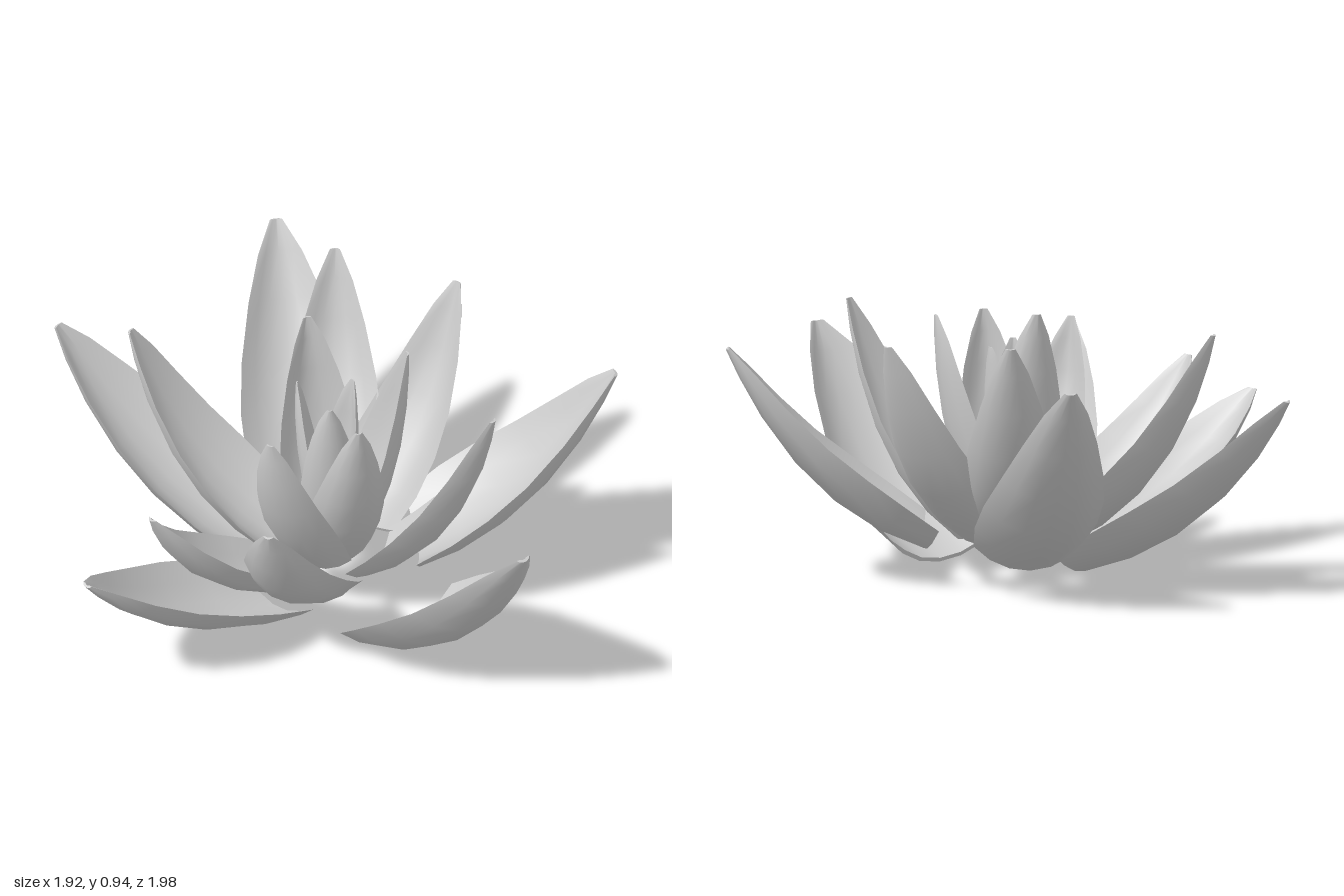
import * as THREE from 'three';
import { toCreasedNormals } from 'three/addons/utils/BufferGeometryUtils.js';

const UP = new THREE.Vector3(0, 1, 0);
const ACROSS = 6;
// half-width along the petal: [position, share of full width]
const OUTLINE = [[0, 0.9], [0.18, 1], [0.38, 0.98], [0.58, 0.84], [0.77, 0.61], [0.91, 0.36], [1, 0.1]];

// A cupped petal: a thin shell swept along a curved spine from its base to its tip
function petalGeometry(base, tip, halfWidth, bulge, lift, cup) {
  const control = new THREE.Vector3(
    THREE.MathUtils.lerp(base.x, tip.x, bulge),
    THREE.MathUtils.lerp(base.y, tip.y, lift),
    THREE.MathUtils.lerp(base.z, tip.z, bulge));
  const spine = new THREE.QuadraticBezierCurve3(base, control, tip);
  const out = tip.clone().sub(base).setY(0).normalize();
  const side = new THREE.Vector3().crossVectors(out, UP);
  const ring = 2 * ACROSS;
  const positions = [], index = [];

  for (const [t, share] of OUTLINE) {
    const centre = spine.getPoint(t);
    const normal = new THREE.Vector3().crossVectors(side, spine.getTangent(t));
    const angle = cup * (0.8 + 0.2 * Math.min(1, t * 4));
    const radius = halfWidth * share / Math.sin(angle);
    const wall = Math.min(0.014, halfWidth * share * 0.4);
    for (let j = 0; j < ring; j++) {
      // outer face one way, inner face back; both meet at the rims
      const inner = j > ACROSS;
      const a = ((inner ? ring - j : j) / ACROSS * 2 - 1) * angle;
      const r = inner ? radius - wall : radius;
      const p = centre.clone()
        .addScaledVector(side, r * Math.sin(a))
        .addScaledVector(normal, radius - r * Math.cos(a));
      positions.push(p.x, p.y, p.z);
    }
  }
  const rows = OUTLINE.length;
  for (let i = 0; i < rows - 1; i++) {
    for (let j = 0; j < ring; j++) {
      const a = i * ring + j, b = i * ring + (j + 1) % ring;
      index.push(a, a + ring, b, b, a + ring, b + ring);
    }
  }
  // close the thin wall at the base and the tip
  const last = (rows - 1) * ring;
  for (let j = 0; j < ACROSS; j++) {
    const k = j + 1, jn = (ring - j) % ring, kn = ring - k;
    if (kn !== k) index.push(j, k, kn, last + j, last + kn, last + k);
    if (jn !== j) index.push(j, kn, jn, last + j, last + jn, last + kn);
  }
  const geometry = new THREE.BufferGeometry();
  geometry.setAttribute('position', new THREE.Float32BufferAttribute(positions, 3));
  geometry.setIndex(index);
  return toCreasedNormals(geometry, 0.9);
}

// Each whorl lists its petals as [tip x, y, z, base radius, base height, half-width]
const WHORLS = [
  { name: 'outerPetal', bulge: 0.64, lift: 0.2, cup: 1.1, petals: [
    [0.96, 0.80, 0.12, 0.30, 0.11, 0.23],
    [0.45, 0.72, 0.99, 0.40, 0.00, 0.26],
    [-0.96, 0.51, 0.53, 0.26, 0.02, 0.21],
    [-0.79, 0.69, -0.70, 0.28, 0.05, 0.21],
    [0.03, 0.80, -0.99, 0.30, 0.08, 0.21],
  ] },
  { name: 'middlePetal', bulge: 0.76, lift: 0.25, cup: 1.1, petals: [
    [-0.71, 0.66, 0.41, 0.18, 0.09, 0.18],
    [-0.61, 0.87, -0.38, 0.18, 0.12, 0.18],
    [0.16, 0.90, -0.65, 0.18, 0.14, 0.17],
    [0.53, 0.88, -0.40, 0.18, 0.14, 0.17],
    [0.47, 0.90, 0.43, 0.18, 0.12, 0.17],
    [-0.37, 0.73, 0.69, 0.20, 0.09, 0.18],
  ] },
  { name: 'innerPetal', bulge: 1.0, lift: 0.4, cup: 1.15, petals: [
    [0.27, 0.91, 0.00, 0.10, 0.17, 0.15],
    [0.02, 0.86, 0.35, 0.10, 0.15, 0.14],
    [-0.28, 0.83, 0.31, 0.12, 0.14, 0.14],
    [-0.03, 0.94, -0.24, 0.10, 0.17, 0.15],
  ] },
  { name: 'heartPetal', bulge: 1.25, lift: 0.5, cup: 1.15, petals: [
    [0.09, 0.80, -0.04, 0.04, 0.20, 0.10],
    [-0.03, 0.80, 0.12, 0.04, 0.20, 0.10],
    [-0.11, 0.82, -0.04, 0.04, 0.20, 0.09],
  ] },
];

export function createModel() {
  const flower = new THREE.Group();
  flower.name = 'flower';
  const material = new THREE.MeshStandardMaterial({ color: 0xcccccc });
  for (const { name, bulge, lift, cup, petals } of WHORLS) {
    const whorl = new THREE.Group();
    whorl.name = name + 's';
    petals.forEach(([x, y, z, radius, height, halfWidth], i) => {
      const tip = new THREE.Vector3(x, y, z);
      const base = new THREE.Vector3(x, 0, z).setLength(radius).setY(height);
      const petal = new THREE.Mesh(petalGeometry(base, tip, halfWidth, bulge, lift, cup), material);
      petal.name = name + (i + 1);
      whorl.add(petal);
    });
    flower.add(whorl);
  }
  return flower;
}
